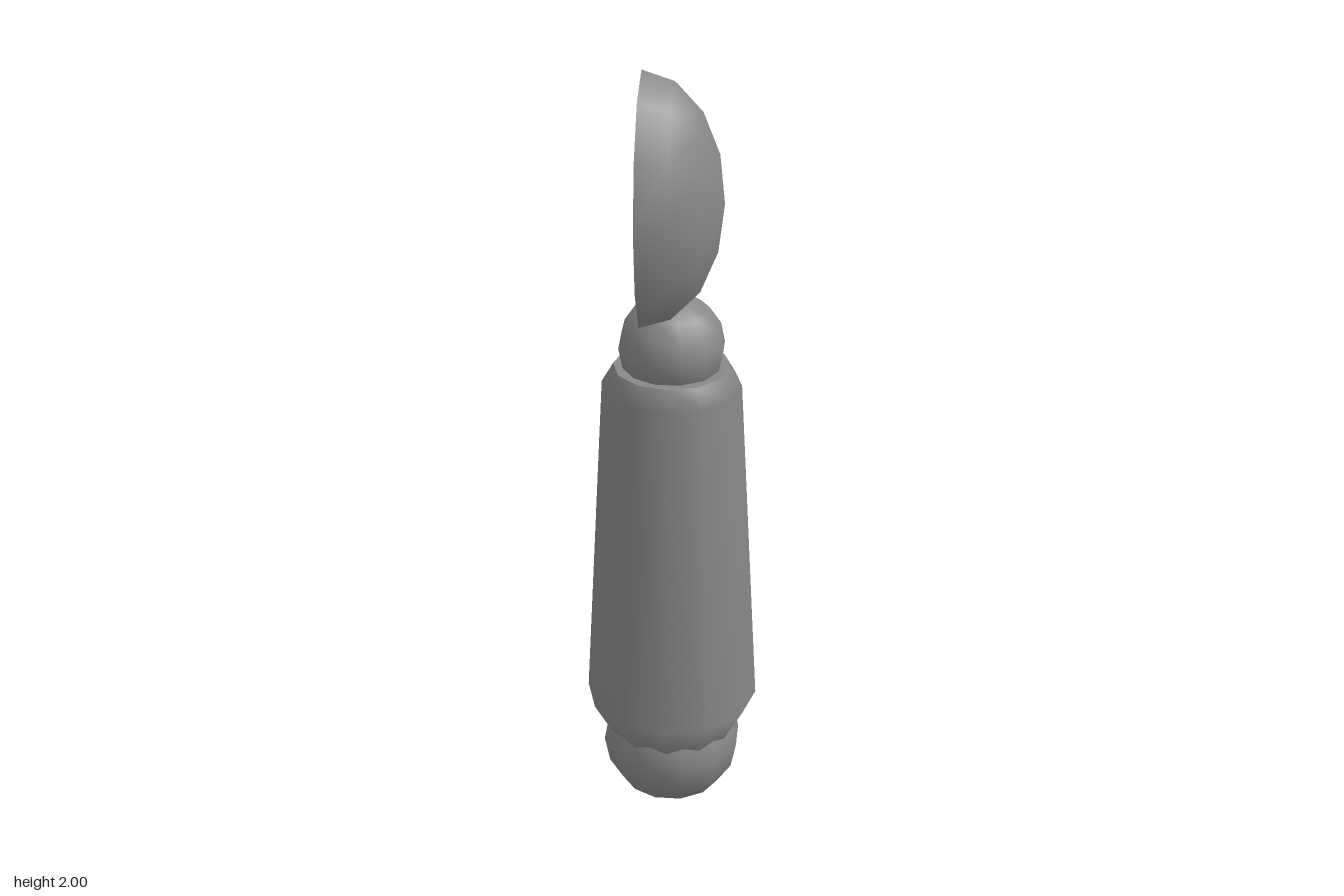
import * as THREE from 'three';

const SIDES = 12;
const material = new THREE.MeshStandardMaterial({ color: 0x888888 });

function add(group, name, geometry) {
  const mesh = new THREE.Mesh(geometry, material);
  mesh.name = name;
  group.add(mesh);
  return mesh;
}

// Ball joint turned half a side against the sleeve
function addBall(group, name, radius, y) {
  const ball = add(group, name, new THREE.SphereGeometry(radius, SIDES, 8));
  ball.rotation.y = Math.PI / SIDES;
  ball.position.y = y;
}

export function createModel() {
  const group = new THREE.Group();
  group.name = 'limb';

  // Tapered main sleeve with bevelled ends
  const profile = [[0.165, 0.22], [0.22, 0.32], [0.173, 1.205], [0.144, 1.255]]
    .map(([r, y]) => new THREE.Vector2(r, y));
  add(group, 'sleeve', new THREE.LatheGeometry(profile, SIDES));

  // Flat caps closing the sleeve
  const topCap = add(group, 'sleeveTop', new THREE.CircleGeometry(0.144, SIDES));
  topCap.rotation.x = -Math.PI / 2;
  topCap.position.y = 1.255;
  const bottomCap = add(group, 'sleeveBottom', new THREE.CircleGeometry(0.165, SIDES));
  bottomCap.rotation.x = Math.PI / 2;
  bottomCap.position.y = 0.22;

  addBall(group, 'lowerBall', 0.18, 0.18);
  addBall(group, 'upperBall', 0.132, 1.308);

  // Paddle: half ellipsoid bulging to +x with a flat face on -x
  const paddle = new THREE.Group();
  paddle.name = 'paddle';
  paddle.position.set(-0.07, 1.678, 0);
  // A narrow lip softens the rim between dome and face
  const arc = [new THREE.Vector2(0.99, 0)];
  for (let i = 0; i <= 4; i++) {
    const a = i * Math.PI / 8;
    arc.push(new THREE.Vector2(Math.cos(a), Math.sin(a)));
  }
  const dome = new THREE.LatheGeometry(arc, SIDES);
  dome.rotateZ(-Math.PI / 2).scale(0.196, 0.322, 0.22);
  add(paddle, 'paddleDome', dome);
  const face = new THREE.CircleGeometry(0.99, SIDES);
  face.rotateY(-Math.PI / 2).scale(1, 0.322, 0.22);
  add(paddle, 'paddleFace', face);
  group.add(paddle);

  return group;
}
